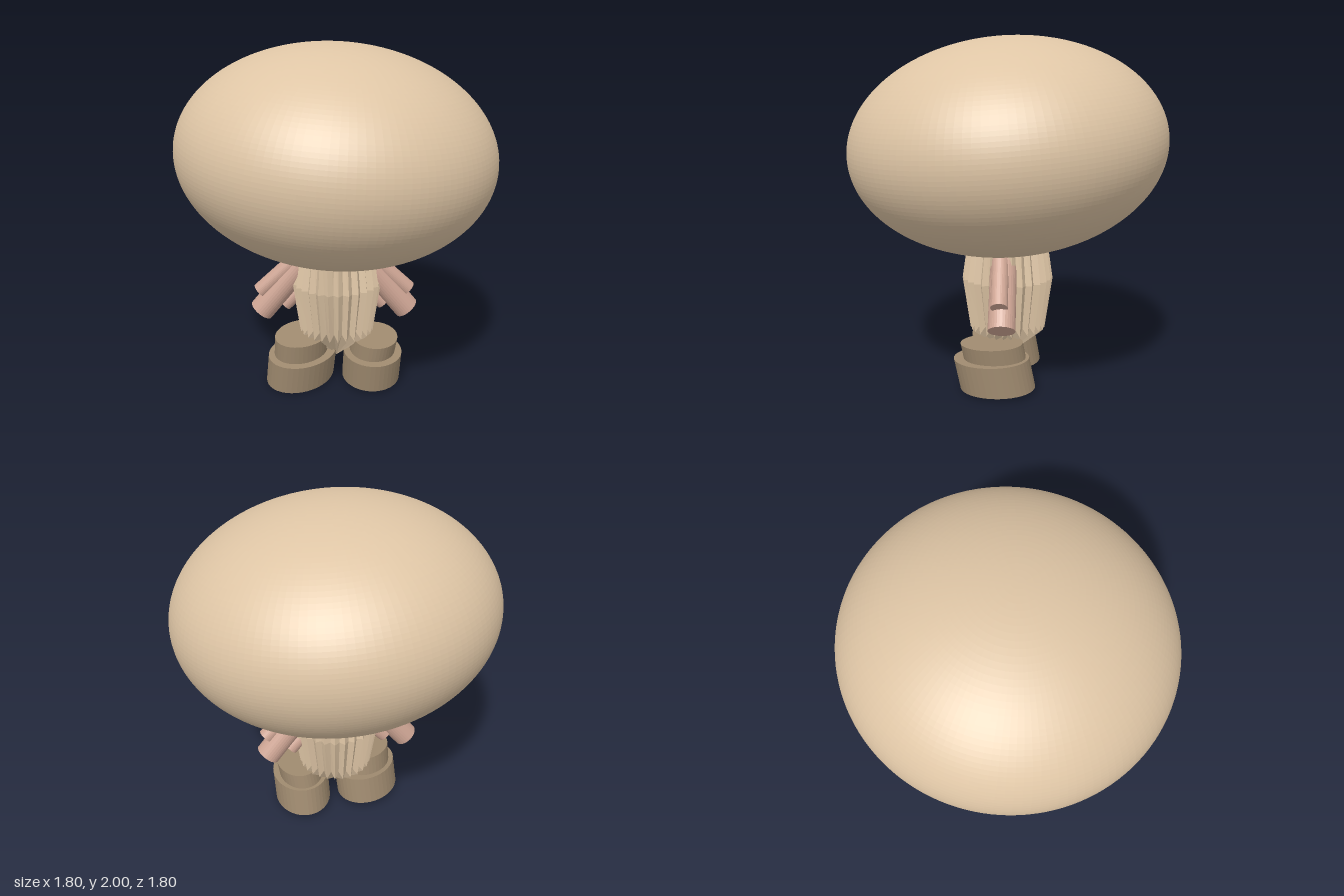
import * as THREE from 'three';

const mat = (color, side = THREE.FrontSide) =>
  new THREE.MeshStandardMaterial({ color, flatShading: true, side });

const HEAD = mat(0xdec5a5);
const BODY = mat(0xdec5a5, THREE.DoubleSide);
const ARM = mat(0xcfa695);
const FOOT = mat(0xa08b70);

function addMesh(parent, name, geometry, material) {
  const mesh = new THREE.Mesh(geometry, material);
  mesh.name = name;
  parent.add(mesh);
  return mesh;
}

// Cylinder running between two points
function rod(parent, name, from, to, radius) {
  const a = new THREE.Vector3(...from), b = new THREE.Vector3(...to);
  const dir = b.clone().sub(a);
  const mesh = addMesh(parent, name, new THREE.CylinderGeometry(radius, radius, dir.length(), 32), ARM);
  mesh.position.copy(a).add(b).multiplyScalar(0.5);
  mesh.quaternion.setFromUnitVectors(new THREE.Vector3(0, 1, 0), dir.normalize());
}

// Oval, leaning disc: lean shifts the top sideways, slope tips the end faces
function disc(parent, name, { at, rx, rz, h, yaw = 0, lean, slope }) {
  const g = new THREE.CylinderGeometry(1, 1, h, 40);
  g.translate(0, h / 2, 0).scale(rx, 1, rz).rotateY(yaw);
  g.applyMatrix4(new THREE.Matrix4().set(
    1, lean[0], 0, 0,
    slope[0], 1, slope[1], 0,
    0, lean[1], 1, 0,
    0, 0, 0, 1));
  addMesh(parent, name, g, FOOT).position.set(...at);
}

// Pleated body: rings of alternating ridges and valleys, closed by a point at each end
function pleatedBody() {
  const pleats = 28, n = pleats * 2;
  // [ridge radius, ridge y, valley radius, valley y]
  const rings = [
    [0, 0.135, 0, 0.135],
    [0.22, 0.315, 0.2, 0.36],
    [0.265, 0.62, 0.238, 0.62],
    [0.22, 0.925, 0.2, 0.88],
    [0, 1.1, 0, 1.1],
  ];
  const pos = [], index = [];
  for (const [r0, y0, r1, y1] of rings) {
    for (let i = 0; i < n; i++) {
      const a = (i / n) * Math.PI * 2, ridge = i % 2 === 0;
      const r = ridge ? r0 : r1;
      pos.push(r * Math.sin(a), ridge ? y0 : y1, r * Math.cos(a));
    }
  }
  for (let k = 0; k < rings.length - 1; k++) {
    for (let i = 0; i < n; i++) {
      const j = (i + 1) % n;
      const a = k * n + i, b = k * n + j, c = a + n, d = b + n;
      if (k > 0) index.push(a, b, c);
      if (k === 0) index.push(a, d, c);
      else if (k < rings.length - 2) index.push(b, d, c);
    }
  }
  const g = new THREE.BufferGeometry();
  g.setAttribute('position', new THREE.Float32BufferAttribute(pos, 3));
  g.setIndex(index);
  g.computeVertexNormals();
  return g;
}

export function createModel() {
  const model = new THREE.Group();
  model.name = 'figure';

  // Wide, slightly tipped head
  const head = addMesh(model, 'head', new THREE.SphereGeometry(1, 128, 80), HEAD);
  head.scale.set(0.9, 0.608, 0.9);
  head.rotation.set(0.07, 0, -0.07);
  head.position.y = 1.39;

  addMesh(model, 'body', pleatedBody(), BODY);

  // Arms: upper sleeve, forearm and a short inner stub
  for (const [side, name, dx] of [[1, 'leftArm', -0.025], [-1, 'rightArm', 0]]) {
    const arm = new THREE.Group();
    arm.name = name;
    arm.position.x = side * dx;
    model.add(arm);
    rod(arm, 'upperArm', [side * 0.17, 0.83, 0.02], [side * 0.455, 0.56, -0.01], 0.047);
    rod(arm, 'forearm', [side * 0.2, 0.74, 0], [side * 0.45, 0.43, -0.022], 0.075);
    rod(arm, 'armStub', [side * 0.16, 0.62, -0.02], [side * 0.31, 0.465, -0.03], 0.045);
  }

  // Feet: a low wide sole with a smaller ankle disc on top
  const left = new THREE.Group();
  left.name = 'leftFoot';
  model.add(left);
  const leftSlope = [0, -0.025];
  disc(left, 'sole', { at: [0.208, 0.02, 0.03], rx: 0.174, rz: 0.216, h: 0.178, lean: [0.04, 0.2], slope: leftSlope });
  disc(left, 'ankle', { at: [0.213, 0.19, 0.045], rx: 0.136, rz: 0.178, h: 0.1, lean: [0.14, 0.17], slope: leftSlope });

  const right = new THREE.Group();
  right.name = 'rightFoot';
  model.add(right);
  const rightSlope = [-0.01, -0.1];
  const yaw = -Math.PI / 4;
  disc(right, 'sole', { at: [-0.222, 0.024, 0.025], rx: 0.18, rz: 0.225, h: 0.175, yaw, lean: [0.1, 0.17], slope: rightSlope });
  disc(right, 'ankle', { at: [-0.215, 0.19, 0.05], rx: 0.143, rz: 0.175, h: 0.125, yaw, lean: [0.05, 0.17], slope: rightSlope });

  return model;
}
